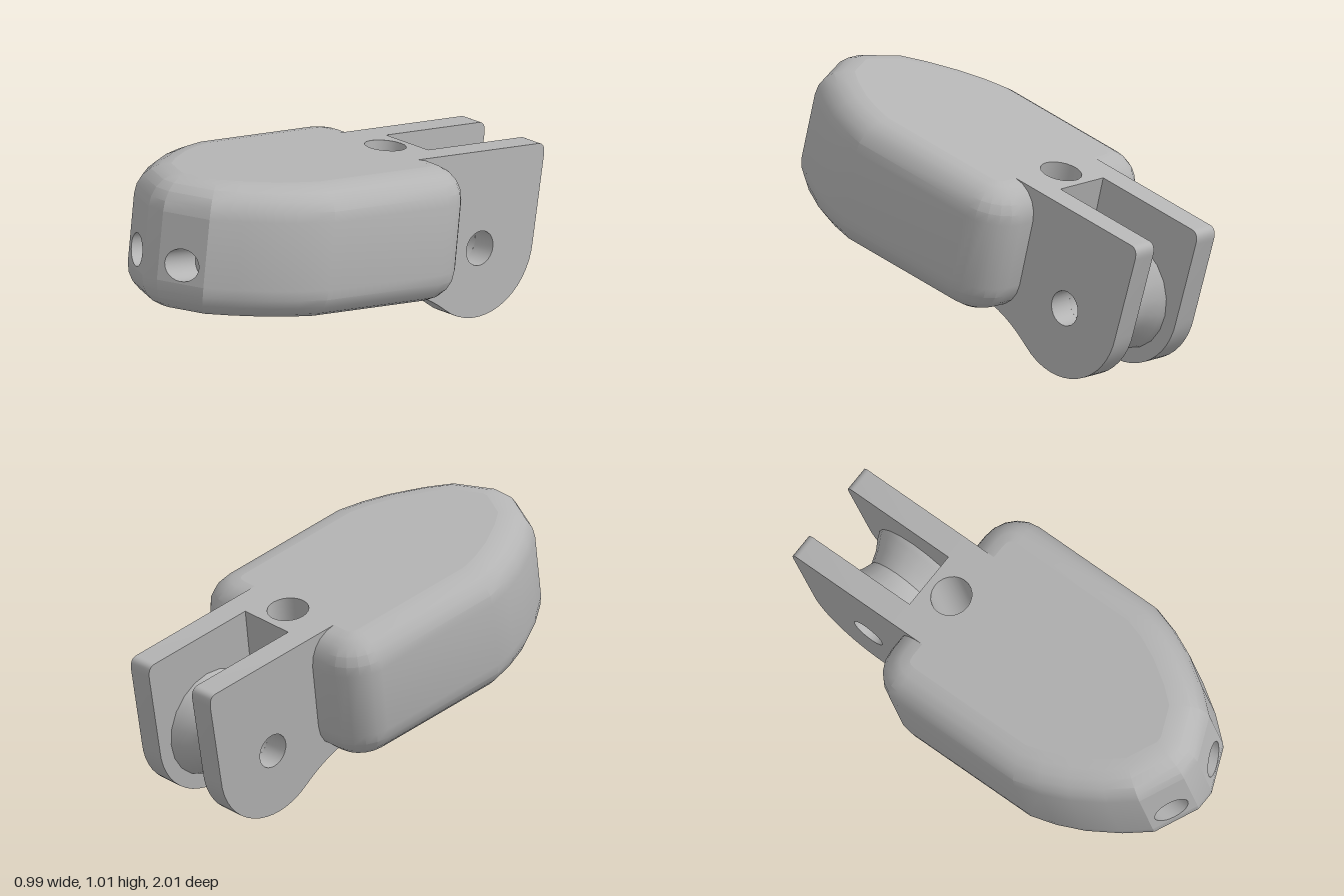
import * as THREE from 'three';
import { toCreasedNormals } from 'three/addons/utils/BufferGeometryUtils.js';

const TOP = 0.255, BOTTOM = -0.32, BEVEL = 0.14, STEPS = 5;
const CREASE = 0.4;

// Right half of the plan outline [x, z], from nose to back
function halfOutline() {
  const pts = [[0.045, 0.985], [0.235, 0.895], [0.32, 0.785], [0.4, 0.65], [0.45, 0.53], [0.483, 0.41]];
  const r = 0.17;
  for (let i = 0; i <= 5; i++) {
    const a = (i / 5) * Math.PI / 2;
    pts.push([0.483 - r + r * Math.cos(a), -0.4 + r - r * Math.sin(a)]);
  }
  pts.push([0.24, -0.4]);
  return pts;
}

// Outline points with the mitred direction each one moves when inset
function insetOutline() {
  const half = halfOutline();
  const all = [...half, ...half.map(([x, z]) => [-x, z]).reverse()];
  const n = all.length;
  const normal = (a, b) => {
    const dx = b[0] - a[0], dz = b[1] - a[1], l = Math.hypot(dx, dz);
    return [-dz / l, dx / l];
  };
  const out = all.map((p, i) => {
    const a = normal(all[(i + n - 1) % n], p), b = normal(p, all[(i + 1) % n]);
    const k = 1 + a[0] * b[0] + a[1] * b[1];
    return { p, m: [(a[0] + b[0]) / k, (a[1] + b[1]) / k] };
  });
  // Square block at the back, which is not rounded
  out.splice(half.length, 0, { p: [0.24, -0.42], m: [0, 0] }, { p: [-0.24, -0.42], m: [0, 0] });
  // Make the inset point inwards
  const s = out[0].m[1] > 0 ? -1 : 1;
  out.forEach(o => { o.m = [o.m[0] * s, o.m[1] * s]; });
  return out;
}

// Surface through closed rings of [x, y, z]; skip(level, side) leaves a gap
function skin(rings, skip = () => false) {
  const pos = [];
  for (let j = 0; j < rings.length - 1; j++) {
    const lo = rings[j], hi = rings[j + 1], n = lo.length;
    for (let i = 0; i < n; i++) {
      if (skip(j, i)) continue;
      const k = (i + 1) % n;
      pos.push(...lo[i], ...lo[k], ...hi[k], ...lo[i], ...hi[k], ...hi[i]);
    }
  }
  const g = new THREE.BufferGeometry();
  g.setAttribute('position', new THREE.Float32BufferAttribute(pos, 3));
  return toCreasedNormals(g, CREASE);
}

function circle(cx, cy, r, n = 24) {
  return Array.from({ length: n }, (_, i) => {
    const a = (i / n) * Math.PI * 2;
    return new THREE.Vector2(cx + r * Math.cos(a), cy + r * Math.sin(a));
  });
}

function flatShape(points, hole) {
  const s = new THREE.Shape(points);
  if (hole) s.holes.push(new THREE.Path(hole));
  return new THREE.ShapeGeometry(s);
}

export function createModel() {
  const grey = new THREE.MeshStandardMaterial({ color: 0xb4b4b4 });
  grey.name = 'grey';
  const model = new THREE.Group();
  model.name = 'model';
  const tilted = new THREE.Group();
  tilted.name = 'tiltedHead';
  tilted.position.y = 0.605;
  tilted.rotation.set(-0.187, 0, 0.077);
  model.add(tilted);
  const add = (name, geometry) => {
    const mesh = new THREE.Mesh(geometry, grey);
    mesh.name = name;
    tilted.add(mesh);
    return mesh;
  };

  // Rounded body, with gaps for the two eye panels
  const outline = insetOutline();
  const ring = (d, y) => outline.map(({ p, m }) => [p[0] + m[0] * d, y, p[1] + m[1] * d]);
  const rings = [];
  for (let i = 0; i <= STEPS; i++) {
    const a = (i / STEPS) * Math.PI / 2;
    rings.push(ring(BEVEL * (1 - Math.sin(a)), BOTTOM + BEVEL * (1 - Math.cos(a))));
  }
  for (let i = STEPS; i >= 0; i--) {
    const a = (i / STEPS) * Math.PI / 2;
    rings.push(ring(BEVEL * (1 - Math.sin(a)), TOP - BEVEL * (1 - Math.cos(a))));
  }
  const last = outline.length - 2;
  add('body', skin(rings, (j, i) => j === STEPS && (i === 0 || i === last)));

  // Flat top and underside, pierced by the upright hole
  const holeZ = -0.297, holeR = 0.088;
  const cap = rings[0].map(([x, , z]) => [x, z]);
  add('topFace', flatShape(cap.map(([x, z]) => new THREE.Vector2(x, -z)), circle(0, -holeZ, holeR))
    .rotateX(-Math.PI / 2)).position.y = TOP;
  add('underside', flatShape(cap.map(([x, z]) => new THREE.Vector2(x, z)), circle(0, holeZ, holeR))
    .rotateX(Math.PI / 2)).position.y = BOTTOM;
  const holeRing = y => circle(0, -holeZ, holeR).map(v => [v.x, y, -v.y]);
  add('uprightHole', skin([holeRing(TOP), holeRing(BOTTOM)]));

  // Eye panels with blind round sockets
  const facetZ = x => 0.985 - (Math.abs(x) - 0.045) * (0.09 / 0.19);
  const y0 = BOTTOM + BEVEL, y1 = TOP - BEVEL, floorZ = 0.8;
  for (const side of [1, -1]) {
    const name = side > 0 ? 'left' : 'right';
    const eye = circle(side * 0.14, -0.1, 0.07);
    const corners = [[0.045, y0], [0.235, y0], [0.235, y1], [0.045, y1]]
      .map(([x, y]) => new THREE.Vector2(side * x, y));
    const panel = flatShape(corners, eye);
    const p = panel.attributes.position;
    for (let i = 0; i < p.count; i++) p.setZ(i, facetZ(p.getX(i)));
    panel.computeVertexNormals();
    add(name + 'EyePanel', panel);
    add(name + 'EyeSocket', skin([
      eye.map(v => [v.x, v.y, facetZ(v.x)]),
      eye.map(v => [v.x, v.y, floorZ]),
    ]));
    add(name + 'EyeFloor', flatShape(eye)).position.z = floorZ;
  }

  // Two bracket plates behind the body, drawn as [distance back, height]
  const pinBack = 0.663, pinY = -0.168, pinR = 0.075;
  const plate = new THREE.Shape();
  plate.moveTo(0.41, TOP);
  plate.lineTo(0.945, TOP);
  plate.quadraticCurveTo(0.985, TOP, 0.982, 0.2);
  plate.absarc(pinBack, pinY, 0.3, 0, -2.145, true);
  plate.quadraticCurveTo(0.35, -0.325, 0.2, -0.319);
  plate.lineTo(0.2, -0.3);
  plate.lineTo(0.41, -0.3);
  plate.closePath();
  plate.holes.push(new THREE.Path(circle(pinBack, pinY, pinR)));
  const plateGeo = toCreasedNormals(
    new THREE.ExtrudeGeometry(plate, { depth: 0.11, bevelEnabled: false, curveSegments: 8 })
      .rotateY(Math.PI / 2), CREASE);
  add('leftBracketPlate', plateGeo).position.x = 0.13;
  add('rightBracketPlate', plateGeo).position.x = -0.24;

  // Grooved roller between the plates, bored through for the pin
  const profile = [[pinR, -0.13], [0.235, -0.13], [0.225, -0.105], [0.195, -0.055], [0.175, 0],
    [0.195, 0.055], [0.225, 0.105], [0.235, 0.13], [pinR, 0.13], [pinR, -0.13]]
    .map(([r, x]) => new THREE.Vector2(r, x));
  const roller = toCreasedNormals(new THREE.LatheGeometry(profile, 20).rotateZ(-Math.PI / 2), CREASE);
  add('roller', roller).position.set(0, pinY, -pinBack);

  return model;
}
